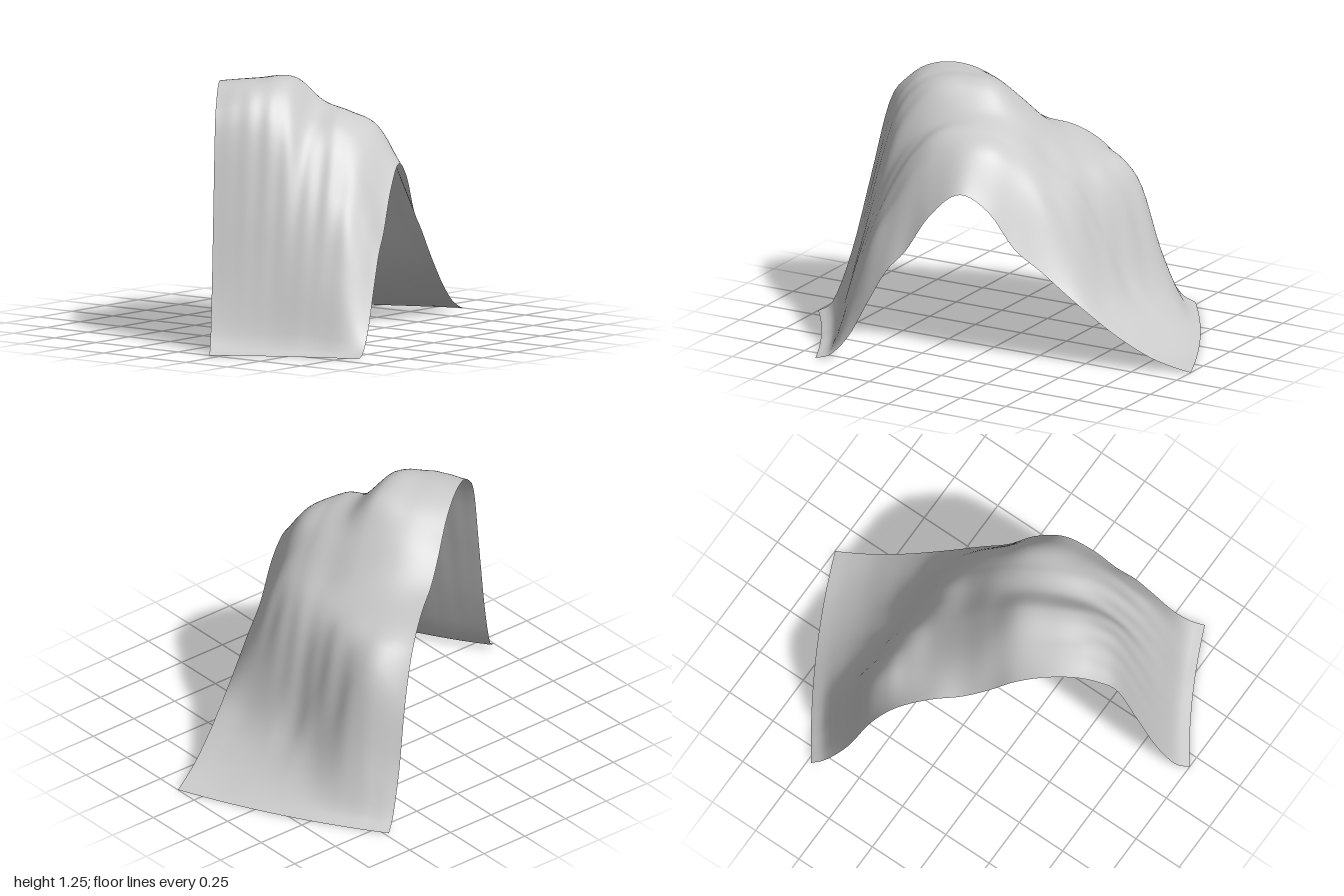
import * as THREE from 'three';

// Height profiles: rows run across the strip, columns run from the back foot to the front foot
const ALONG = [0, .04, .1, .15, .2, .25, .32, .4, .47, .54, .62, .7, .76, .81, .86, .91, .96, 1];
const ACROSS = [0, .2, .4, .55, .7, .85, 1];
const HEIGHTS = [
  [0, .05, .25, .53, .715, .82, .90, .945, 1.035, 1.155, 1.22, 1.22, 1.16, 1.04, .67, .30, .05, 0],
  [0, .06, .32, .63, .77, .82, .88, .98, 1.10, 1.20, 1.235, 1.23, 1.18, 1.04, .70, .33, .05, 0],
  [0, .05, .17, .33, .59, .75, .84, .96, 1.09, 1.21, 1.235, 1.215, 1.13, .98, .68, .34, .05, 0],
  [0, .04, .12, .21, .34, .57, .79, .91, 1.04, 1.11, 1.12, 1.07, .98, .84, .63, .35, .05, 0],
  [0, .03, .09, .16, .26, .42, .71, .87, .99, 1.06, 1.08, 1.04, .93, .78, .59, .33, .04, 0],
  [0, .02, .07, .13, .20, .30, .53, .76, .88, .99, 1.01, .93, .81, .67, .52, .28, .035, 0],
  [0, .02, .06, .11, .17, .24, .345, .475, .58, .76, .84, .72, .55, .45, .29, .12, .02, 0],
];

// Smooth interpolation through unevenly spaced values
function sample(xs, ys, x) {
  const n = xs.length;
  let i = 0;
  while (i < n - 2 && x > xs[i + 1]) i++;
  const slope = (k) => {
    const a = Math.max(k - 1, 0), b = Math.min(k + 1, n - 1);
    return (ys[b] - ys[a]) / (xs[b] - xs[a]);
  };
  const h = xs[i + 1] - xs[i], t = (x - xs[i]) / h, t2 = t * t, t3 = t2 * t;
  return ys[i] * (2 * t3 - 3 * t2 + 1) + slope(i) * h * (t3 - 2 * t2 + t)
    + ys[i + 1] * (3 * t2 - 2 * t3) + slope(i + 1) * h * (t3 - t2);
}

// Small gullies running down the front flank and the slanting back cliff, fading out at the rims
function gullies(u, v) {
  const cliff = .04 + .38 * u;
  const flank = Math.exp(-(((v - .82) / .07) ** 2)) + Math.exp(-(((v - cliff) / .05) ** 2));
  return .008 * flank * Math.sin(Math.PI * u) * Math.sin(u * 50 + v * 5);
}

export function createModel() {
  const group = new THREE.Group();
  group.name = 'hillStrip';

  // Corners of the ground plan (x, z)
  const backRight = new THREE.Vector2(-.82, -.48), backLeft = new THREE.Vector2(.12, -1);
  const frontRight = new THREE.Vector2(.19, 1), frontLeft = new THREE.Vector2(.82, .65);

  // Open terrain sheet, a sector with concentric arc ends, bent up over the profiles
  const geometry = new THREE.PlaneGeometry(1, 1, 80, 64);
  const pos = geometry.attributes.position;
  const back = new THREE.Vector2(), front = new THREE.Vector2();
  for (let i = 0; i < pos.count; i++) {
    const v = pos.getX(i) + .5, u = pos.getY(i) + .5;
    back.lerpVectors(backRight, backLeft, u);
    front.lerpVectors(frontRight, frontLeft, u);
    back.lerp(front, v);
    const bulge = 4 * u * (1 - u) * (1 - .4 * v);
    const y = sample(ACROSS, HEIGHTS.map((row) => sample(ALONG, row, v)), u) + gullies(u, v);
    pos.setXYZ(i, back.x - .018 * bulge, Math.max(0, y), back.y - .03 * bulge);
  }
  geometry.computeVertexNormals();

  const terrain = new THREE.Mesh(geometry,
    new THREE.MeshStandardMaterial({ color: 0xcccccc, side: THREE.DoubleSide }));
  terrain.name = 'terrain';
  group.add(terrain);
  return group;
}
